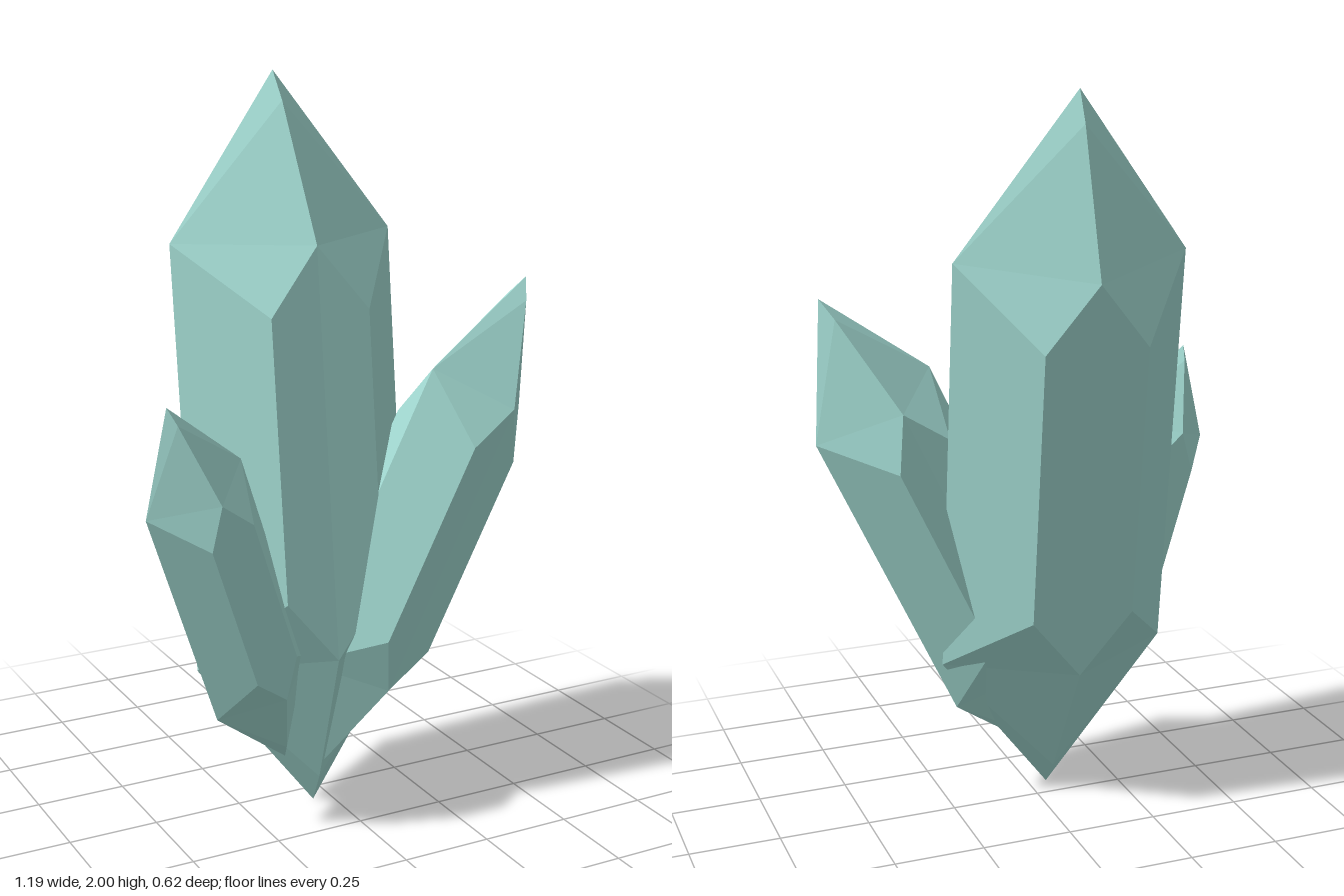
import * as THREE from 'three';

// One eighth of a crystal in local units: [side, front, along the axis].
const apex = [0, 0, 1], ridge = [0, 0.24, 0.92];
const side = [1, 0, 0.57], front = [0, 1.03, 0.55], corner = [0.44, 1.04, 0.375];
const atMiddle = ([u, v]) => [u, v, 0];
const octant = [
  [side, apex, ridge, front, corner], // tip facet
  [front, atMiddle(front), atMiddle(corner), corner], // broad prism face
  [corner, atMiddle(corner), atMiddle(side), side], // narrow prism face
];

// Mirrors the octant in all three directions; U, V and A are the half axes.
function crystalGeometry(U, V, A) {
  const positions = [];
  const put = ([u, v, a]) => {
    for (let i = 0; i < 3; i++) positions.push(u * U[i] + v * V[i] + a * A[i]);
  };
  for (const su of [1, -1]) for (const sv of [1, -1]) for (const sa of [1, -1]) {
    for (const face of octant) {
      const points = face.map(([u, v, a]) => [u * su, v * sv, a * sa]);
      if (su * sv * sa < 0) points.reverse();
      // fan from the side corner, wherever reversing has put it
      const start = su * sv * sa < 0 ? points.length - 1 : 0;
      const p = (k) => points[(start + k) % points.length];
      for (let k = 1; k < points.length - 1; k++) [p(0), p(k), p(k + 1)].forEach(put);
    }
  }
  const geometry = new THREE.BufferGeometry();
  geometry.setAttribute('position', new THREE.Float32BufferAttribute(positions, 3));
  geometry.computeVertexNormals();
  return geometry;
}

export function createModel() {
  const group = new THREE.Group();
  group.name = 'crystalCluster';
  const material = new THREE.MeshStandardMaterial({ color: 0xa4dcd4, flatShading: true });

  const crystals = [
    { name: 'mainCrystal', at: [-0.053, 1, -0.045],
      U: [0.325, 0, 0], V: [0, 0.02, 0.197], A: [0, 1, -0.115] },
    { name: 'leftCrystal', at: [0.235, 0.762, 0.113],
      U: [0.175, -0.08, -0.055], V: [0.03, -0.02, 0.145], A: [0.32, 0.688, 0.04] },
    { name: 'rightCrystal', at: [-0.349, 0.7, 0.167],
      U: [0.146, 0.053, -0.033], V: [0.025, -0.01, 0.104], A: [-0.185, 0.525, 0.05] },
  ];
  for (const { name, at, U, V, A } of crystals) {
    const mesh = new THREE.Mesh(crystalGeometry(U, V, A), material);
    mesh.name = name;
    mesh.position.set(...at);
    group.add(mesh);
  }
  return group;
}
